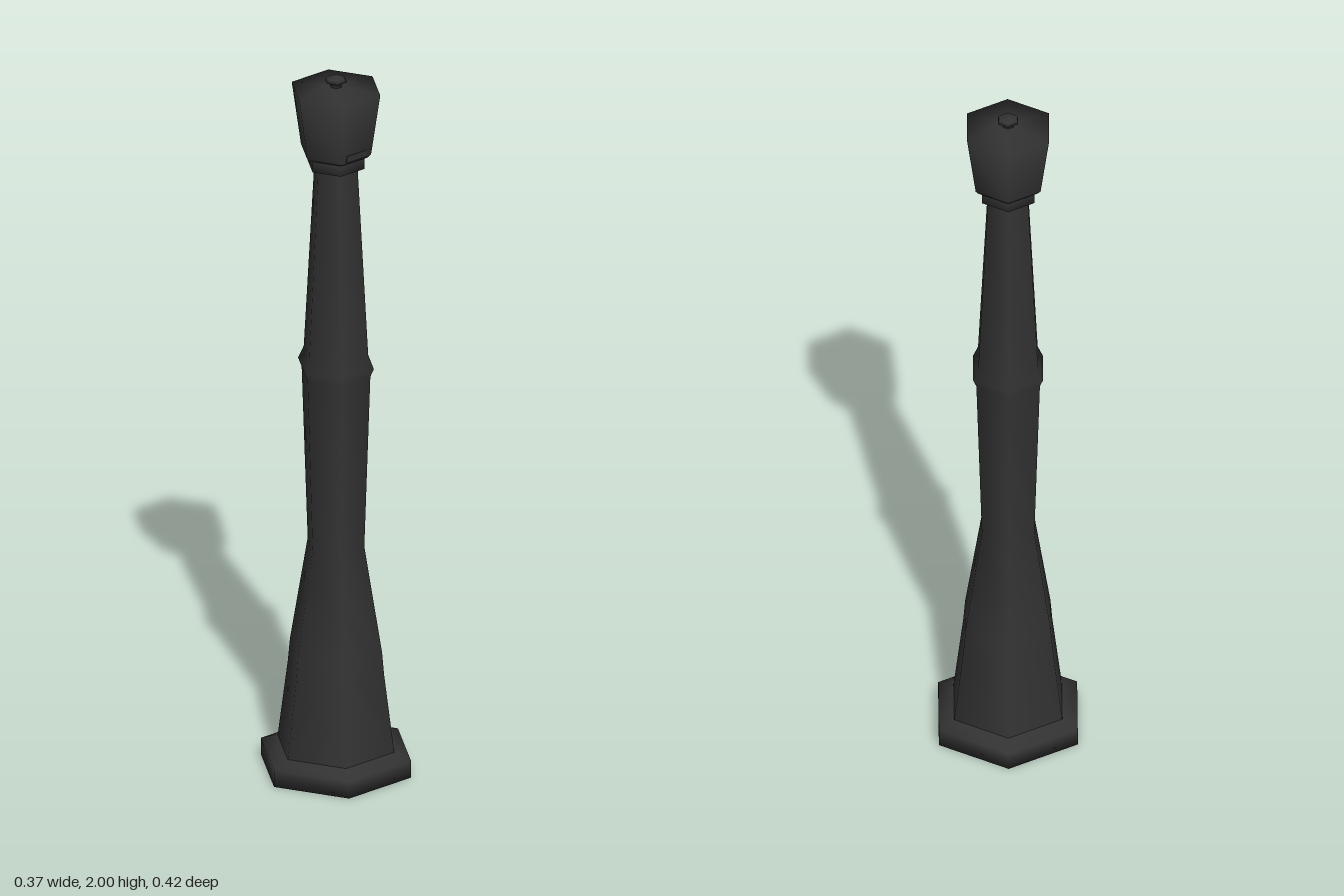
import * as THREE from 'three';

export function createModel() {
  const tower = new THREE.Group();
  tower.name = 'tower';
  const charcoal = new THREE.MeshStandardMaterial({ color: 0x333333 });
  charcoal.name = 'charcoal';

  // Six-sided turned part with softly blended faces; profile is [radius, height]
  function addTurned(name, profile) {
    const points = profile.map(([r, y]) => new THREE.Vector2(r, y));
    const mesh = new THREE.Mesh(new THREE.LatheGeometry(points, 6), charcoal);
    mesh.name = name;
    tower.add(mesh);
  }

  // Plinth with a sloped shoulder
  addTurned('base', [[0, 0], [0.212, 0], [0.212, 0.048], [0.165, 0.066]]);

  // Flared foot, waist, swelling middle with a ring, tapering neck
  addTurned('shaft', [
    [0.165, 0.062], [0.136, 0.285], [0.13, 0.35], [0.08, 0.65],
    [0.097, 1.145], [0.107, 1.168], [0.091, 1.205], [0.061, 1.745],
  ]);

  // Collar under the head
  addTurned('collar', [[0.058, 1.742], [0.08, 1.745], [0.08, 1.785], [0.06, 1.785]]);

  // Flared head with a nearly flat roof
  addTurned('head', [
    [0.07, 1.778], [0.09, 1.78], [0.099, 1.79], [0.125, 1.965], [0.03, 1.972], [0, 1.972],
  ]);

  // Small knob on the roof
  addTurned('finial', [
    [0.016, 1.97], [0.016, 1.982], [0.031, 1.988], [0.025, 1.996], [0, 2],
  ]);

  // Thin sill plate low on the right-hand face of the head
  const sill = new THREE.Mesh(new THREE.BoxGeometry(0.008, 0.02, 0.068), charcoal);
  sill.name = 'sill';
  sill.position.set(0.085, 1.8, 0.002);
  sill.rotation.z = -0.13;
  tower.add(sill);

  return tower;
}
